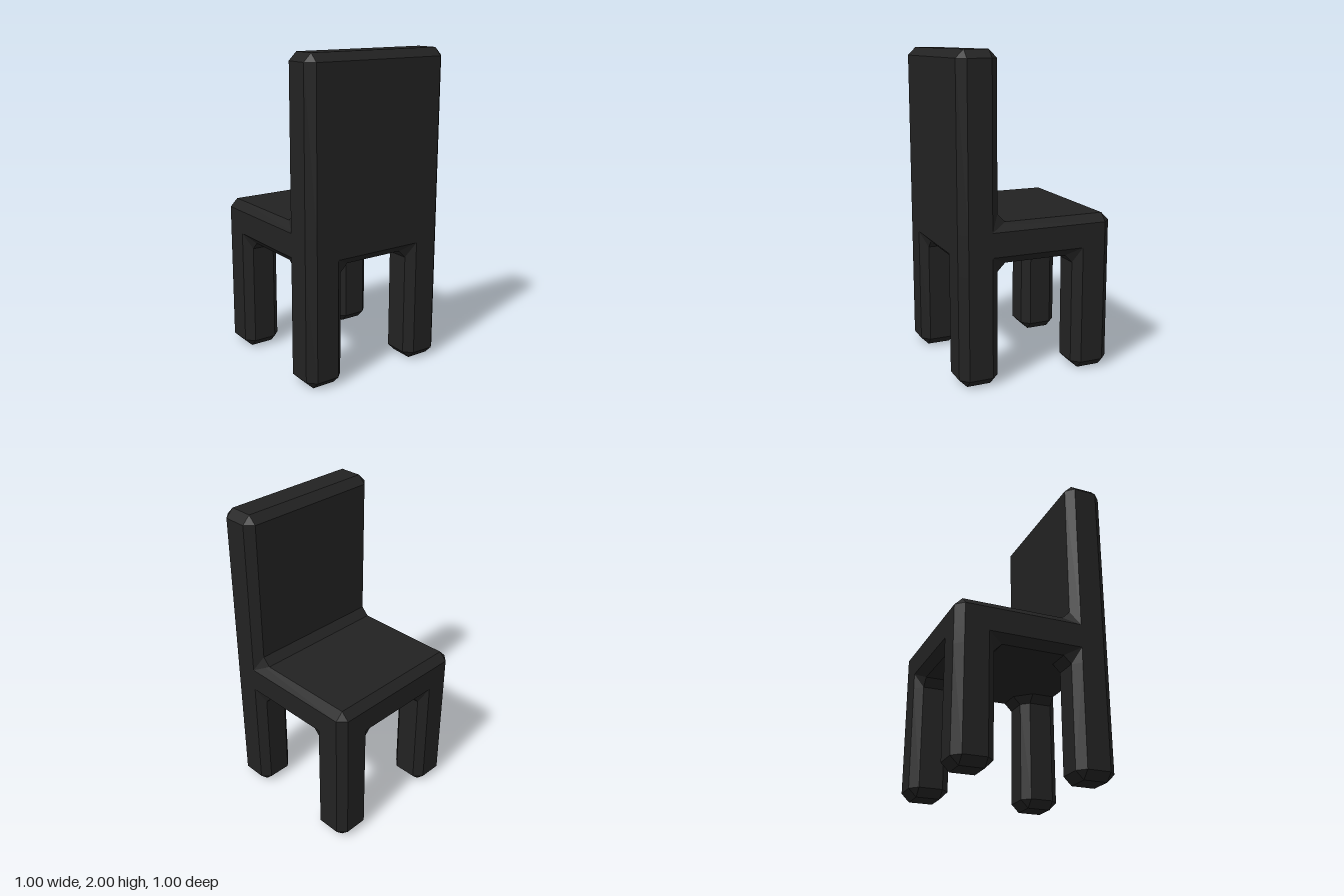
import * as THREE from 'three';

const B = 0.05; // bevel size used on every edge

// Flat-faced geometry from convex polygons, each fanned from its first corner
function fromPolygons(polygons) {
  const pos = [];
  const a = new THREE.Vector3(), b = new THREE.Vector3(), c = new THREE.Vector3();
  for (const p of polygons) {
    for (let i = 1; i < p.length - 1; i++) {
      a.set(...p[0]); b.set(...p[i]); c.set(...p[i + 1]);
      const area = b.clone().sub(a).cross(c.clone().sub(a)).length();
      if (area > 1e-9) pos.push(...p[0], ...p[i], ...p[i + 1]);
    }
  }
  const g = new THREE.BufferGeometry();
  g.setAttribute('position', new THREE.Float32BufferAttribute(pos, 3));
  g.computeVertexNormals();
  return g;
}

// Rectangle with cut corners at height y
function ring(y, x0, x1, z0, z1, c = B) {
  return [
    [x1, y, z0 + c], [x1, y, z1 - c], [x1 - c, y, z1], [x0 + c, y, z1],
    [x0, y, z1 - c], [x0, y, z0 + c], [x0 + c, y, z0], [x1 - c, y, z0],
  ];
}

// Side polygons joining successive rings, listed bottom to top;
// "flipped" is the side whose diagonal runs the other way
function loft(rings, flipped = -1) {
  const polygons = [];
  for (let r = 0; r < rings.length - 1; r++) {
    const lo = rings[r], hi = rings[r + 1];
    for (let i = 0; i < lo.length; i++) {
      const j = (i + 1) % lo.length;
      polygons.push(i === flipped
        ? [hi[i], hi[j], lo[j], lo[i]]
        : [lo[i], hi[i], hi[j], lo[j]]);
    }
  }
  return polygons;
}

export function createModel() {
  const chair = new THREE.Group();
  chair.name = 'chair';
  const charcoal = new THREE.MeshStandardMaterial({ color: 0x222222 });
  charcoal.name = 'charcoal';

  const add = (name, geometry) => {
    const mesh = new THREE.Mesh(geometry, charcoal);
    mesh.name = name;
    chair.add(mesh);
    return mesh;
  };

  // Leg: bevelled foot, straight post, flared join to the seat
  const foot = ring(0, 0.3, 0.45, 0.3, 0.45, 0);
  const join = [
    [0.5, 0.8, 0.3], [0.5, 0.8, 0.45], [0.45, 0.8, 0.5], [0.3, 0.8, 0.5],
    [0.2, 0.75, 0.45], [0.2, 0.75, 0.3], [0.3, 0.75, 0.2], [0.45, 0.75, 0.2],
  ];
  const leg = fromPolygons([
    foot,
    ...loft([foot, ring(0.05, 0.25, 0.5, 0.25, 0.5), ring(0.7, 0.25, 0.5, 0.25, 0.5), join], 3),
  ]);

  // Quarter of the seat underside with its bevelled lower edge
  const underside = fromPolygons([
    [[0.3, 0.8, 0.5], [-0.3, 0.8, 0.5], [-0.2, 0.75, 0.45], [0.2, 0.75, 0.45]],
    [[0, 0.75, 0], [0.45, 0.75, 0.2], [0.3, 0.75, 0.2], [0.2, 0.75, 0.3],
      [0.2, 0.75, 0.45], [-0.2, 0.75, 0.45]],
  ]);

  for (let k = 0; k < 4; k++) {
    add('leg', leg).rotation.y = k * Math.PI / 2;
    add('seatUnderside', underside).rotation.y = k * Math.PI / 2;
  }

  // Seat
  const seatTop = ring(1, -0.45, 0.45, -0.45, 0.45, 0);
  add('seat', fromPolygons([
    ...loft([ring(0.8, -0.5, 0.5, -0.5, 0.5), ring(0.95, -0.5, 0.5, -0.5, 0.5), seatTop]),
    [...seatTop].reverse(),
  ]));

  // Backrest
  const backTop = ring(2, -0.45, 0.45, 0.3, 0.45, 0);
  add('backrest', fromPolygons([
    ...loft([ring(0.95, -0.5, 0.5, 0.25, 0.5), ring(1.95, -0.5, 0.5, 0.25, 0.5), backTop]),
    [...backTop].reverse(),
  ]));

  // Sloped strip where the seat meets the backrest
  add('backrestJoin', fromPolygons([
    [[0.45, 1, 0.2], [-0.45, 1, 0.2], [-0.45, 1.05, 0.25], [0.45, 1.05, 0.25]],
    [[0.5, 0.95, 0.3], [0.45, 1, 0.2], [0.45, 1.05, 0.25]],
    [[-0.5, 0.95, 0.3], [-0.45, 1.05, 0.25], [-0.45, 1, 0.2]],
  ]));

  return chair;
}
